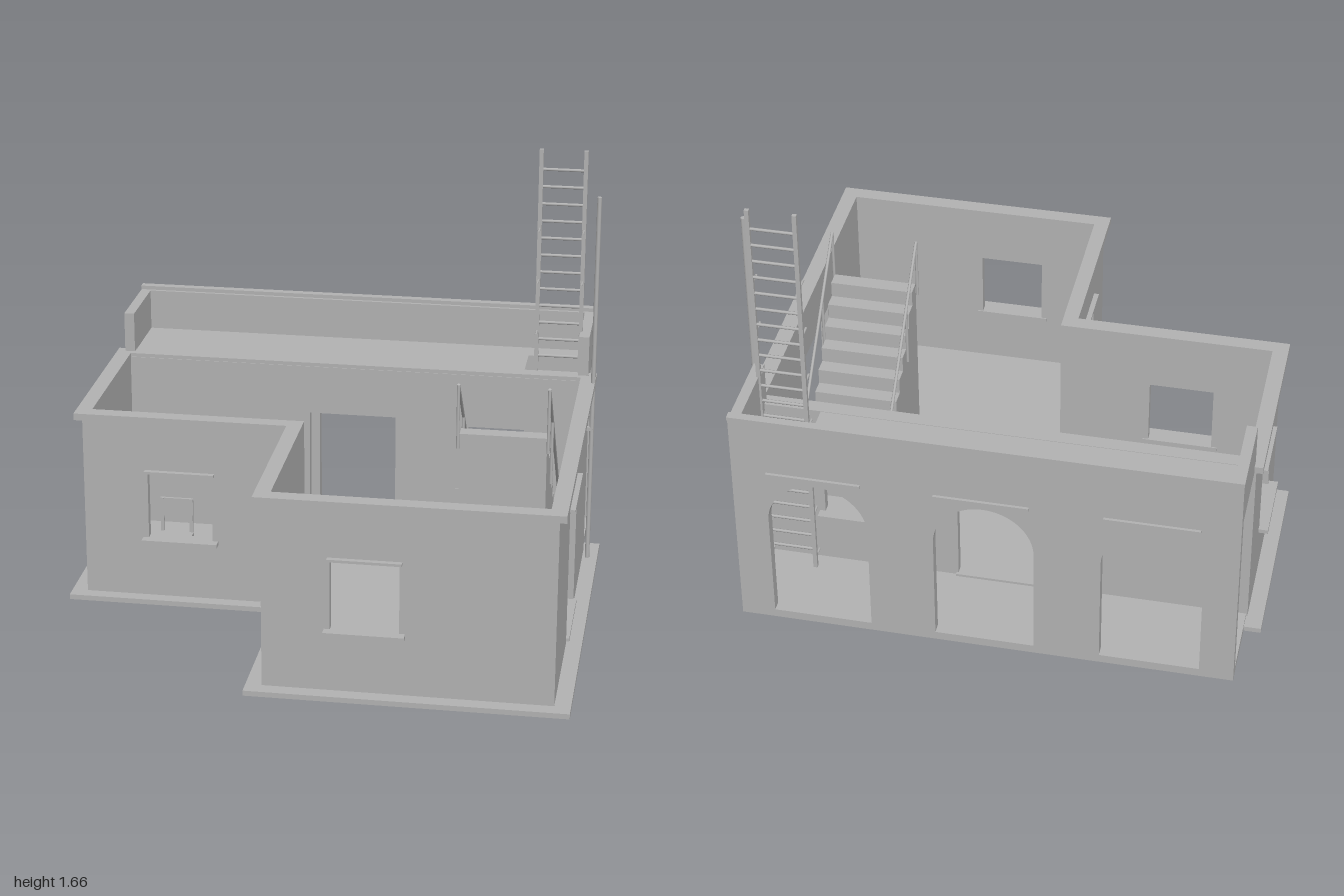
import * as THREE from 'three';

const stone = new THREE.MeshStandardMaterial({ color: 0xb2b2b2 });
stone.name = 'plain grey';

const FLOOR = 0.037, WALL_TOP = 0.765;

export function createModel() {
  const root = new THREE.Group();
  root.name = 'house';

  const add = (name, geo, parent = root) => {
    const m = new THREE.Mesh(geo, stone);
    m.name = name;
    parent.add(m);
    return m;
  };
  // Box given by its limits
  const box = (name, x0, x1, y0, y1, z0, z1, parent) => {
    const g = new THREE.BoxGeometry(x1 - x0, y1 - y0, z1 - z0);
    g.translate((x0 + x1) / 2, (y0 + y1) / 2, (z0 + z1) / 2);
    return add(name, g, parent);
  };
  // Round bar between two points
  const bar = (name, a, b, r, parent) => {
    const p = new THREE.Vector3(...a), q = new THREE.Vector3(...b);
    const m = add(name, new THREE.CylinderGeometry(r, r, p.distanceTo(q), 8), parent);
    m.position.copy(p).lerp(q, 0.5);
    m.quaternion.setFromUnitVectors(new THREE.Vector3(0, 1, 0), q.sub(p).normalize());
    return m;
  };
  // Horizontal slab from plan outlines in (x, z)
  const slab = (name, outline, y0, y1, hole) => {
    const pts = (o) => o.map(([x, z]) => new THREE.Vector2(x, -z));
    const s = new THREE.Shape(pts(outline));
    if (hole) s.holes.push(new THREE.Path(pts(hole)));
    const g = new THREE.ExtrudeGeometry(s, { depth: y1 - y0, bevelEnabled: false });
    g.rotateX(-Math.PI / 2).translate(0, y0, 0);
    return add(name, g);
  };
  // L-shaped plan
  const plan = (l, r, back, front, cx, cz) =>
    [[l, back], [l, cz], [cx, cz], [cx, front], [r, front], [r, back]];
  const rectPath = (x0, x1, y0, y1) => new THREE.Path([[x0, y0], [x1, y0], [x1, y1], [x0, y1]]
    .map((p) => new THREE.Vector2(...p)));

  // Base and floors
  slab('plinth', plan(-1, 1, -0.61, 0.92, -0.18, 0.21), 0, 0.02);
  slab('floor', plan(-0.94, 0.94, -0.55, 0.865, -0.12, 0.16), 0.01, FLOOR);
  box('porchFloor', -0.935, 0.935, 0, 0.032, -0.885, -0.54);

  // Walls: outer face from a to b, openings measured along the wall
  const T = 0.033;
  const wall = (name, a, b, openings) => {
    const dx = b[0] - a[0], dz = b[1] - a[1], len = Math.hypot(dx, dz);
    const g = new THREE.Group();
    g.name = name;
    g.position.set(a[0], 0, a[1]);
    g.rotation.y = Math.atan2(-dz, dx);
    root.add(g);
    const s = new THREE.Shape([[0, FLOOR], [len, FLOOR], [len, 0.75], [0, 0.75]]
      .map((p) => new THREE.Vector2(...p)));
    for (const [kind, u] of openings) {
      const door = kind === 'door', h = door ? 0.174 : 0.125;
      const y0 = door ? FLOOR + 0.002 : 0.262, y1 = door ? 0.555 : 0.533;
      s.holes.push(rectPath(u - h, u + h, y0, y1));
      box('lintel', u - h - 0.01, u + h + 0.01, y1 - 0.002, y1 + 0.008, -T, 0.02, g);
      if (door) box('threshold', u - h - 0.008, u + h + 0.008, 0.03, 0.042, -T, 0.012, g);
      else box('sill', u - h - 0.022, u + h + 0.022, 0.246, 0.262, -T - 0.005, 0.036, g);
    }
    const e = new THREE.ExtrudeGeometry(s, { depth: T, bevelEnabled: false });
    add('wallPanel', e.translate(0, 0, -T), g);
  };
  wall('frontLeftWall', [-0.94, 0.16], [-0.12, 0.16], [['window', 0.375]]);
  wall('innerSideWall', [-0.12, 0.127], [-0.12, 0.865], [['window', 0.403]]);
  wall('frontRightWall', [-0.12, 0.865], [0.94, 0.865], [['window', 0.375]]);
  wall('rightWall', [0.94, 0.865], [0.94, -0.55], [['door', 0.7]]);
  wall('backWall', [0.94, -0.55], [-0.94, -0.55], [['window', 0.375], ['door', 0.94]]);
  wall('leftWall', [-0.94, -0.55], [-0.94, 0.16], [['window', 0.37]]);

  // Coping around the wall tops
  slab('wallCoping', plan(-0.967, 0.967, -0.575, 0.89, -0.145, 0.185), 0.738, WALL_TOP,
    plan(-0.907, 0.907, -0.52, 0.83, -0.087, 0.127));

  // Long panel above the side door
  box('signPanel', 0.939, 0.946, 0.625, 0.715, -0.275, 0.595);

  // Arcade at the back of the porch
  const arcade = new THREE.Shape([[-0.935, 0.03], [0.935, 0.03], [0.935, 0.925], [-0.935, 0.925]]
    .map((p) => new THREE.Vector2(...p)));
  for (const x of [-0.62, 0, 0.62]) {
    const r = 0.187, arch = new THREE.Path();
    arch.moveTo(x - r, 0.034).lineTo(x + r, 0.034).lineTo(x + r, 0.475);
    arch.absarc(x, 0.475, r, 0, Math.PI, false);
    arch.lineTo(x - r, 0.034);
    arcade.holes.push(arch);
    box('lightStrip', x - 0.175, x + 0.175, 0.715, 0.727, -0.925, -0.914);
  }
  const arcadeGeo = new THREE.ExtrudeGeometry(arcade,
    { depth: 0.04, bevelEnabled: false, curveSegments: 20 });
  add('arcadeWall', arcadeGeo.translate(0, 0, -0.885));

  // Porch roof with ladder hatch and parapet
  slab('porchRoof', [[-0.93, -0.85], [0.93, -0.85], [0.93, -0.525], [-0.93, -0.525]], 0.735, 0.763,
    [[0.68, -0.75], [0.895, -0.75], [0.895, -0.56], [0.68, -0.56]]);
  box('parapetCap', -0.937, 0.937, 0.925, 0.94, -0.89, -0.858);
  for (const s of [-1, 1]) {
    const x = 0.915 * s;
    box('parapetSide', x - 0.02, x + 0.02, 0.735, 0.925, -0.87, -0.543);
  }

  // Ladder
  const ladder = new THREE.Group();
  ladder.name = 'ladder';
  root.add(ladder);
  for (const x of [0.722, 0.895]) {
    box('ladderRail', x - 0.008, x + 0.008, 0.03, 1.66, -0.622, -0.607, ladder);
    for (let y = 0.073; y < 1.4; y += 0.2112)
      bar('ladderBracket', [x, y, -0.615], [x, y, -0.558], 0.005, ladder);
  }
  for (let i = 0; i < 22; i++) {
    const y = 1.58 - i * 0.0695;
    bar('ladderRung', [0.722, y, -0.615], [0.895, y, -0.615], 0.006, ladder);
  }

  // Tall pole on the right wall
  bar('pole', [0.96, 0.02, -0.468], [0.96, 1.52, -0.468], 0.009);
  box('poleClip', 0.938, 0.965, 0.565, 0.58, -0.476, -0.46);

  // Staircase rising towards the front
  const stairs = new THREE.Group();
  stairs.name = 'stairs';
  root.add(stairs);
  const N = 12, Z0 = -0.465, Z1 = 0.24, run = (Z1 - Z0) / N, rise = (0.795 - FLOOR) / N;
  for (let i = 0; i < N; i++)
    box('step', 0.515, 0.84, FLOOR, FLOOR + (i + 1) * rise, Z0 + i * run, Z0 + (i + 1) * run, stairs);
  const railY = (z) => 0.99 + (z - 0.247) * 1.06;
  for (const x of [0.51, 0.845]) {
    bar('handrail', [x, railY(0.247), 0.247], [x, railY(-0.45), -0.45], 0.006, stairs);
    for (const z of [0.247, 0.065, -0.45])
      bar('railPost', [x, Math.max(FLOOR, railY(z) - 0.25), z], [x, railY(z), z], 0.006, stairs);
  }

  // Chair
  const chair = new THREE.Group();
  chair.name = 'chair';
  root.add(chair);
  box('chairSeat', -0.705, -0.57, 0.165, 0.18, -0.105, 0.01, chair);
  box('chairBack', -0.7, -0.572, 0.235, 0.32, -0.11, -0.1, chair);
  for (const x of [-0.695, -0.58]) {
    box('chairBackLeg', x - 0.007, x + 0.007, FLOOR, 0.32, -0.111, -0.098, chair);
    box('chairFrontLeg', x - 0.007, x + 0.007, FLOOR, 0.166, 0, 0.014, chair);
  }
  return root;
}
